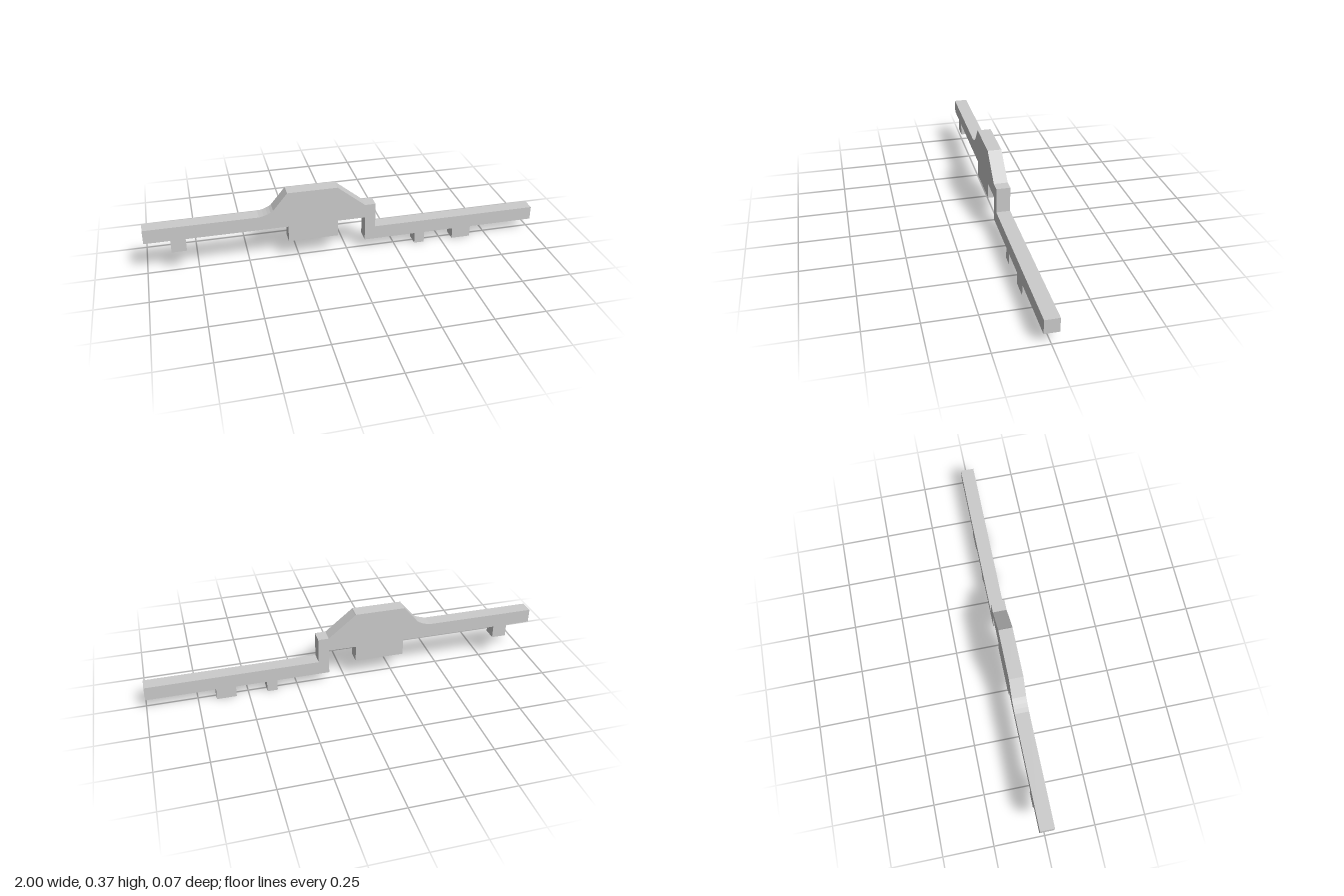
import * as THREE from 'three';

const DEPTH = 0.07;

export function createModel() {
  const group = new THREE.Group();
  group.name = 'steppedBar';

  const shape = new THREE.Shape();
  const line = (...pts) => pts.forEach(([x, y]) => shape.lineTo(x, y));
  // A rectangular lug hanging below the edge at height y
  const lug = (x0, x1, y, bottom) => line([x0, y], [x0, bottom], [x1, bottom], [x1, y]);

  // Underside of the upper bar, with its small lug and the wide block
  shape.moveTo(-1, 0.187);
  lug(-0.875, -0.802, 0.187, 0.122);
  lug(-0.303, -0.052, 0.187, 0.103);

  // Step down to the lower bar and its two feet
  line([0.087, 0.187], [0.087, 0.058]);
  lug(0.355, 0.407, 0.058, 0);
  lug(0.562, 0.66, 0.058, 0);

  // Lower bar end, top and step up
  line([1, 0.058], [1, 0.128], [0.141, 0.128], [0.141, 0.258], [0.087, 0.258]);

  // Hump with a curved run-out on the right
  line([-0.048, 0.368], [-0.052, 0.372], [-0.303, 0.372], [-0.375, 0.285]);
  shape.quadraticCurveTo(-0.397, 0.267, -0.445, 0.258);

  // Top of the upper bar
  line([-1, 0.258]);
  shape.closePath();

  const geometry = new THREE.ExtrudeGeometry(shape, {
    depth: DEPTH, bevelEnabled: false, curveSegments: 4,
  });
  geometry.translate(0, 0, -DEPTH / 2);

  const bar = new THREE.Mesh(
    geometry,
    new THREE.MeshStandardMaterial({ color: 0xcccccc, flatShading: true })
  );
  bar.name = 'barWithHumpAndFeet';
  group.add(bar);
  return group;
}
